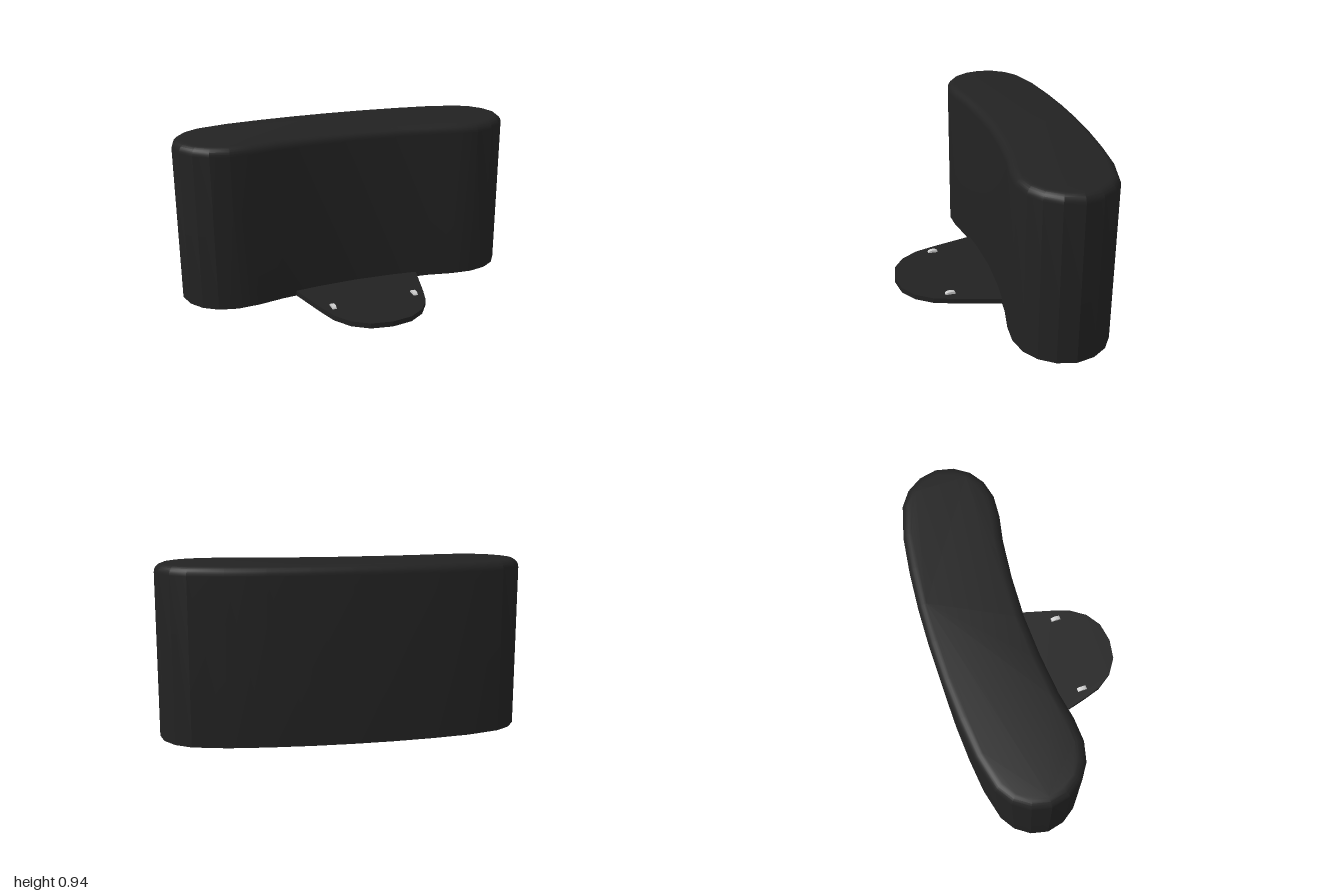
import * as THREE from 'three';
import { toCreasedNormals } from 'three/addons/utils/BufferGeometryUtils.js';

const black = new THREE.MeshStandardMaterial({ color: 0x222222 });
const grey = new THREE.MeshStandardMaterial({ color: 0xcccccc });

// Closed outline from the [x, z] points of its +x half, mirrored to -x
function mirroredShape(half) {
  const other = half.filter(([x]) => x > 0).reverse().map(([x, z]) => [-x, z]);
  return new THREE.Shape([...half, ...other].map(([x, z]) => new THREE.Vector2(x, -z)));
}

function addMesh(group, name, geometry, material) {
  const mesh = new THREE.Mesh(geometry, material);
  mesh.name = name;
  group.add(mesh);
  return mesh;
}

export function createModel() {
  const group = new THREE.Group();
  group.name = 'curvedBlockWithFootPlate';

  // Bean-shaped body, rounded along the top edge only
  const bodyShape = mirroredShape([
    [0, -0.55], [0.22, -0.545], [0.44, -0.53], [0.65, -0.505], [0.835, -0.457],
    [0.92, -0.4], [0.977, -0.317], [1, -0.217], [0.977, -0.115], [0.92, -0.033],
    [0.84, 0.02], [0.735, 0.045], [0.61, 0.037], [0.46, 0.008], [0.235, -0.015], [0, -0.025],
  ]);
  const radius = 0.05;
  const body = new THREE.ExtrudeGeometry(bodyShape, {
    depth: 0.94 - radius, bevelThickness: radius, bevelSize: radius,
    bevelOffset: -radius, bevelSegments: 6,
  });
  body.rotateX(-Math.PI / 2);
  // Flatten the lower bevel into the base so the bottom edge stays sharp
  const pos = body.attributes.position;
  for (let i = 0; i < pos.count; i++) pos.setY(i, Math.max(0, pos.getY(i)));
  addMesh(group, 'body', toCreasedNormals(body, 0.3), black);

  // Thin tongue-shaped plate in front, its root tucked into the body
  const plateShape = mirroredShape([
    [0.39, -0.05], [0.38, 0], [0.31, 0.26], [0.275, 0.37],
    [0.21, 0.465], [0.12, 0.525], [0, 0.545],
  ]);
  const plate = new THREE.ExtrudeGeometry(plateShape, { depth: 0.03, bevelEnabled: false });
  plate.rotateX(-Math.PI / 2);
  addMesh(group, 'footPlate', plate, black);

  // Pair of small rounded contacts standing proud of the plate
  const contact = new THREE.CylinderGeometry(0.03, 0.03, 0.024, 16);
  contact.rotateZ(Math.PI / 2).scale(1, 0.5, 1);
  for (const side of [-1, 1]) {
    const name = side > 0 ? 'leftContact' : 'rightContact';
    addMesh(group, name, contact, grey).position.set(side * 0.247, 0.03, 0.268);
  }

  return group;
}
